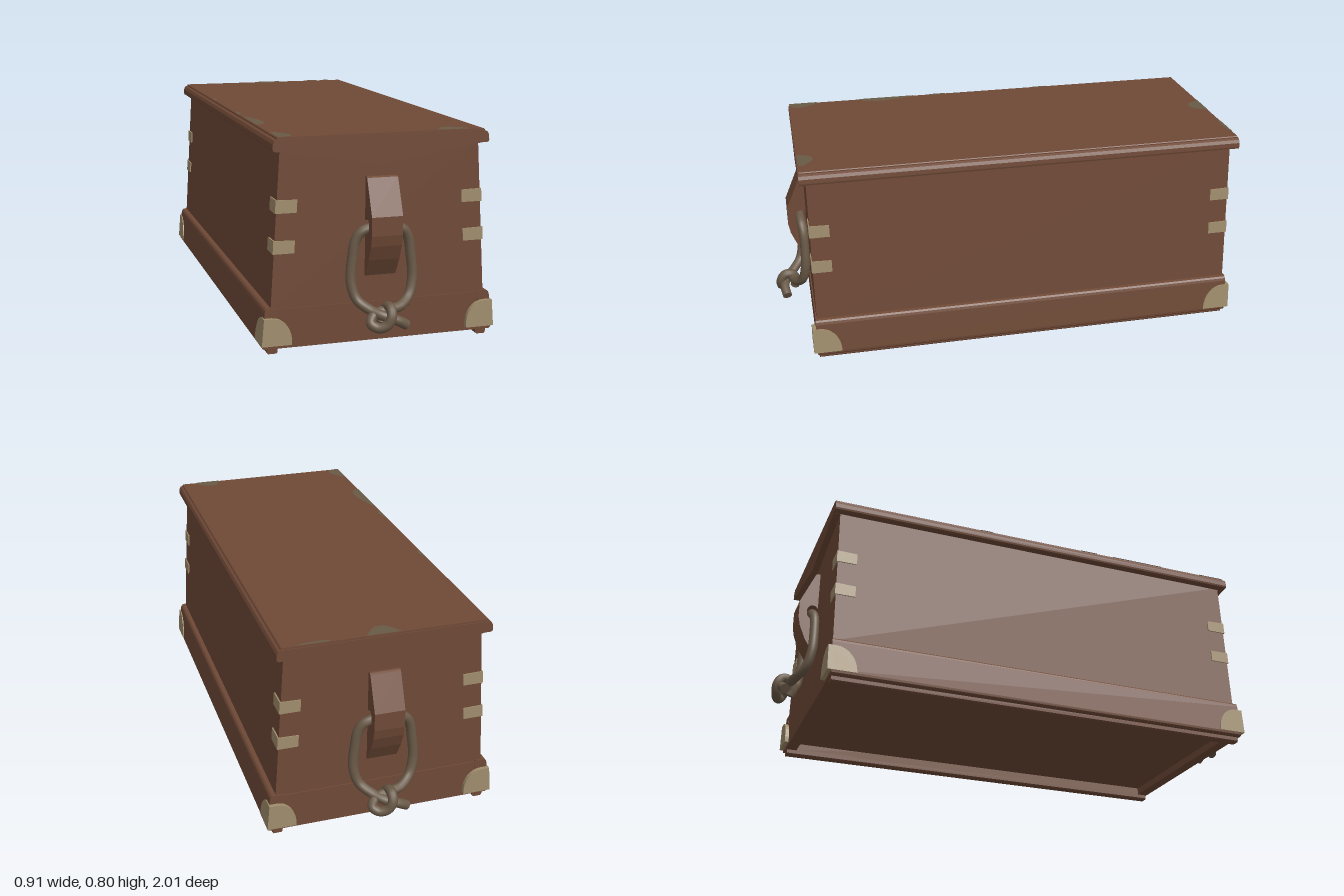
import * as THREE from 'three';

const mat = (name, color, side = THREE.FrontSide) => {
  const m = new THREE.MeshStandardMaterial({ color, side });
  m.name = name;
  return m;
};

export function createModel() {
  const chest = new THREE.Group();
  chest.name = 'chest';
  const wood = mat('brown wood', 0x6f4936);
  const brass = mat('dull brass', 0xa08d6d);
  const rope = mat('old rope', 0x695947);
  const worn = mat('worn patch', 0x685a45, THREE.DoubleSide);

  const add = (parent, name, geo, material) => {
    const mesh = new THREE.Mesh(geo, material);
    mesh.name = name;
    parent.add(mesh);
    return mesh;
  };
  const shapeOf = pts => new THREE.Shape(pts.map(p => new THREE.Vector2(p[0], p[1])));
  // Profile in x and y, run along z from z0 to z1
  const prism = (pts, z0, z1) => new THREE.ExtrudeGeometry(shapeOf(pts),
    { depth: z1 - z0, bevelEnabled: false }).translate(0, 0, z0);
  // Closed profile from its right half, mirrored in x
  const mirrored = half => [...half, ...half.slice().reverse().map(([x, y]) => [-x, y])];

  // Half widths of the leaning side walls
  const bodyEdge = y => 0.415 - (y - 0.17) * 0.064;
  const skirtEdge = y => 0.45 - (y - 0.03) * 0.085;

  // Tapered body
  add(chest, 'body', prism(mirrored([[0.42, 0.05], [bodyEdge(0.17), 0.17], [bodyEdge(0.755), 0.755]]), -0.86, 0.86), wood);

  // Base boards and floor runners
  const skirt = [[0.39, 0.02], [0.443, 0.02], [0.449, 0.026], [0.45, 0.035], [0.439, 0.155],
    [0.436, 0.165], [0.43, 0.171], [0.42, 0.173], [0.39, 0.173]];
  for (const s of [1, -1]) {
    const flip = pts => pts.map(([x, y]) => [x * s, y]);
    add(chest, 'sideSkirt', prism(flip(skirt), -0.866, 0.866), wood);
    add(chest, 'runner', prism(flip([[0.39, 0.025], [0.39, 0.005], [0.395, 0], [0.425, 0], [0.43, 0.005], [0.43, 0.025]]), -0.86, 0.86), wood);
    const z = [s * 0.82, s * 0.865].sort((a, b) => a - b);
    add(chest, 'endSkirt', prism(mirrored([[0.44, 0.02], [0.43, 0.168]]), z[0], z[1]), wood);
  }

  // Lid with rounded long edges and a raised panel
  const lid = new THREE.Group();
  lid.name = 'lid';
  chest.add(lid);
  add(lid, 'lidBoard', prism(mirrored([[0.4, 0.745], [0.408, 0.748], [0.41, 0.755], [0.409, 0.772],
    [0.403, 0.784], [0.393, 0.789]]), -0.887, 0.887), wood);
  add(lid, 'lidPanel', prism(mirrored([[0.393, 0.785], [0.393, 0.793], [0.39, 0.796]]), -0.883, 0.883), wood);
  for (const s of [1, -1]) {
    const z = [s * 0.85, s * 0.886].sort((a, b) => a - b);
    add(lid, 'endValance', prism([[-0.38, 0.75], [-0.378, 0.744], [-0.02, 0.686], [0, 0.683],
      [0.02, 0.686], [0.378, 0.744], [0.38, 0.75]], z[0], z[1]), wood);
  }

  // Plate wrapped round a corner; outline gives distance from the corner and height
  const cornerPlate = (name, outline, edge, sx, sz, end, thick) => {
    const group = new THREE.Group();
    group.name = name;
    chest.add(group);
    const lean = (geo, sign) => {
      const p = geo.attributes.position;
      for (let i = 0; i < p.count; i++) p.setX(i, p.getX(i) + sign * edge(p.getY(i)));
      geo.computeVertexNormals();
      return geo;
    };
    const a = prism(outline.map(([u, y]) => [sx * (u - thick.x), y].map((v, k) => k ? v : -v)), -thick.z, thick.z);
    add(group, 'endPlate', lean(a, sx).translate(0, 0, sz * end), brass);
    const b = prism(outline.map(([u, y]) => [sz * (end + thick.z - u), y]), -thick.x, thick.x).rotateY(-Math.PI / 2);
    add(group, 'sidePlate', lean(b, sx), brass);
  };

  const quarter = [[0, 0.035], [0, 0.138], [0.03, 0.138]];
  for (let i = 1; i <= 8; i++) {
    const t = i / 8 * Math.PI / 2;
    quarter.push([0.03 + 0.082 * Math.sin(t), 0.04 + 0.098 * Math.cos(t)]);
  }
  quarter.push([0.112, 0.035]);
  for (const sx of [1, -1]) for (const sz of [1, -1]) {
    cornerPlate('cornerCap', quarter, skirtEdge, sx, sz, 0.87, { x: 0.004, z: 0.011 });
    for (const y of [0.372, 0.52])
      cornerPlate('cornerStrap', [[0, y], [0.08, y], [0.08, y + 0.047], [0, y + 0.049]],
        bodyEdge, sx, sz, 0.86, { x: 0.005, z: 0.004 });
  }

  // Rope path: ring through the bracket, then an overhand knot with a short tail
  const path = new THREE.CatmullRomCurve3([
    [0.068, 0.1, 0.965], [0.03, 0.122, 0.972], [-0.02, 0.14, 0.962], [-0.06, 0.156, 0.93],
    [-0.1, 0.188, 0.897], [-0.119, 0.25, 0.882], [-0.113, 0.34, 0.877], [-0.1, 0.41, 0.878],
    [-0.075, 0.442, 0.883], [0, 0.455, 0.886], [0.075, 0.442, 0.883], [0.1, 0.41, 0.878],
    [0.113, 0.34, 0.877], [0.119, 0.25, 0.882], [0.1, 0.19, 0.897], [0.055, 0.16, 0.925],
    [0, 0.155, 0.938], [-0.05, 0.142, 0.945], [-0.067, 0.115, 0.958], [-0.043, 0.1, 0.975],
    [-0.012, 0.113, 0.986], [0.003, 0.145, 0.986], [0.004, 0.17, 0.966], [0, 0.165, 0.935],
    [-0.008, 0.13, 0.922], [-0.015, 0.105, 0.93],
  ].map(p => new THREE.Vector3(...p)));

  // Handle at each end
  for (const turn of [0, Math.PI]) {
    const handle = new THREE.Group();
    handle.name = turn ? 'backHandle' : 'frontHandle';
    handle.rotation.y = turn;
    chest.add(handle);
    const side = shapeOf([[0.85, 0.265], [0.865, 0.268], [0.905, 0.335], [0.928, 0.39], [0.936, 0.43],
      [0.936, 0.5], [0.878, 0.634], [0.87, 0.638], [0.85, 0.638]]);
    const hole = new THREE.Path();
    hole.absellipse(0.88, 0.46, 0.024, 0.029, 0, Math.PI * 2, true);
    side.holes.push(hole);
    const geo = new THREE.ExtrudeGeometry(side, { depth: 0.118, bevelEnabled: false, curveSegments: 10 });
    add(handle, 'bracket', geo.translate(0, 0, -0.059).rotateY(-Math.PI / 2), wood);
    add(handle, 'ropeRing', new THREE.TubeGeometry(path, 180, 0.019, 12), rope);
    // Rope end caps
    for (const t of [0, 1]) {
      const cap = add(handle, 'ropeEnd', new THREE.CircleGeometry(0.019, 12), rope);
      cap.position.copy(path.getPoint(t));
      const dir = path.getTangent(t).multiplyScalar(t ? 1 : -1);
      cap.quaternion.setFromUnitVectors(new THREE.Vector3(0, 0, 1), dir);
    }
  }

  // Worn spots along the lid rim: centre x, z and radii, kept inside the panel
  for (const [cx, cz, rx, rz] of [[0.01, -0.88, 0.065, 0.055], [0.27, -0.885, 0.06, 0.018],
    [-0.39, 0.47, 0.04, 0.12], [-0.385, 0.83, 0.05, 0.06], [0.27, 0.865, 0.055, 0.04],
    [-0.39, -0.24, 0.015, 0.03], [-0.39, 0.23, 0.015, 0.04]]) {
    const pts = [];
    for (let i = 0; i < 18; i++) {
      const a = i / 18 * Math.PI * 2, r = 1 + 0.13 * Math.sin(3 * a + cx * 9);
      pts.push([THREE.MathUtils.clamp(cx + rx * r * Math.cos(a), -0.39, 0.39),
        THREE.MathUtils.clamp(-cz + rz * r * Math.sin(a), -0.883, 0.883)]);
    }
    add(lid, 'wornSpot', new THREE.ShapeGeometry(shapeOf(pts)).rotateX(-Math.PI / 2).translate(0, 0.798, 0), worn);
  }
  return chest;
}
